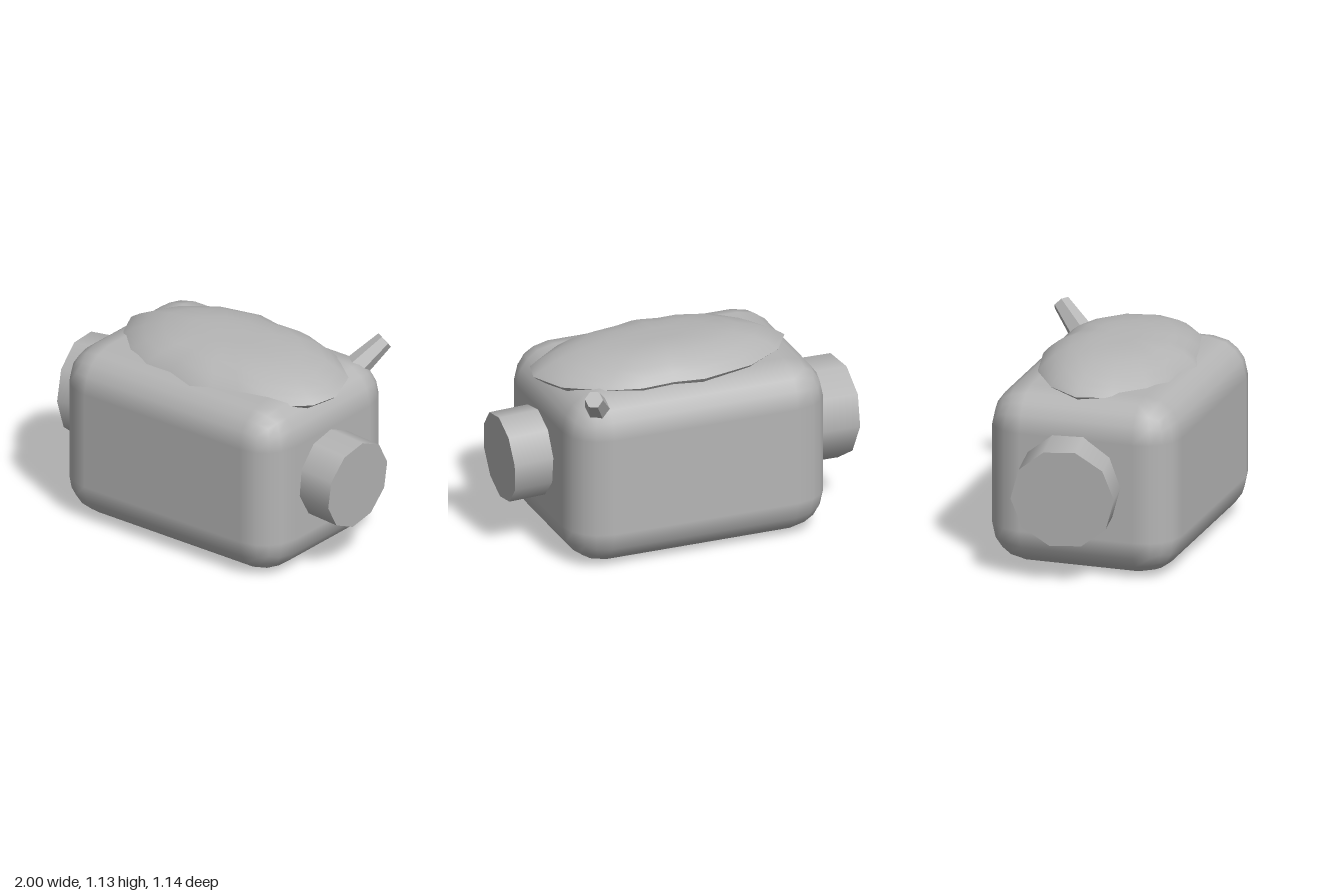
import * as THREE from 'three';
import { RoundedBoxGeometry } from 'three/addons/geometries/RoundedBoxGeometry.js';

const grey = new THREE.MeshStandardMaterial({ color: 0xb5b5b5 });
grey.name = 'grey';
const greyFaceted = grey.clone();
greyFaceted.name = 'grey faceted';
greyFaceted.flatShading = true;

// Uneven outline of the lid seen from above, as [x, z]
const RIM = [
  [0.80, 0.04], [0.76, 0.19], [0.59, 0.34], [0.40, 0.39], [0.22, 0.42], [0.10, 0.455],
  [-0.08, 0.41], [-0.25, 0.41], [-0.43, 0.34], [-0.58, 0.18], [-0.66, 0.0], [-0.55, -0.18],
  [-0.33, -0.33], [-0.03, -0.40], [0.14, -0.37], [0.33, -0.38], [0.52, -0.32], [0.72, -0.17],
];

// Half of the lens-shaped lid: rings of the outline shrinking to the middle
function lidHalf(height) {
  const scales = [1, 0.97, 0.91, 0.8, 0.62, 0.4, 0.2];
  const n = RIM.length, cx = 0.07, cz = 0.02;
  const pos = [], index = [];
  for (const s of scales) {
    for (const [x, z] of RIM) {
      const rimY = 0.985 - 0.05 * z - 0.012 * x;
      const y = rimY * s + 0.982 * (1 - s) + height * (1 - s ** 4);
      pos.push(cx + (x - cx) * s, y, cz + (z - cz) * s);
    }
  }
  pos.push(cx, 0.982 + height, cz);
  const tri = (a, b, c) => (height > 0 ? index.push(a, c, b) : index.push(a, b, c));
  for (let r = 0; r < scales.length; r++) {
    for (let i = 0; i < n; i++) {
      const j = (i + 1) % n, a = r * n + i, b = r * n + j;
      if (r === scales.length - 1) tri(a, b, scales.length * n);
      else {
        tri(a, b, b + n);
        tri(a, b + n, a + n);
      }
    }
  }
  const geo = new THREE.BufferGeometry();
  geo.setAttribute('position', new THREE.Float32BufferAttribute(pos, 3));
  geo.setIndex(index);
  geo.computeVertexNormals();
  return geo;
}

// Cylinder from a base point to a tip point
function peg(base, tip, rBase, rTip, sides, phase = 0) {
  const a = new THREE.Vector3(...base), b = new THREE.Vector3(...tip);
  const dir = b.clone().sub(a);
  const geo = new THREE.CylinderGeometry(rTip, rBase, dir.length(), sides, 1, false, phase);
  geo.applyQuaternion(new THREE.Quaternion().setFromUnitVectors(
    new THREE.Vector3(0, 1, 0), dir.normalize()));
  a.add(b).multiplyScalar(0.5);
  return geo.translate(a.x, a.y, a.z);
}

export function createModel() {
  const model = new THREE.Group();
  model.name = 'roundedContainer';
  const add = (name, geo, mat = grey) => {
    const mesh = new THREE.Mesh(geo, mat);
    mesh.name = name;
    model.add(mesh);
  };

  // Body with soft corners
  add('body', new RoundedBoxGeometry(1.52, 1.0, 1.085, 2, 0.22).translate(0.01, 0.5, 0.028));

  // Cushion-like lid
  add('lidTop', lidHalf(0.14));
  add('lidUnderside', lidHalf(-0.15));

  // Slightly tilted side drums
  const phase = THREE.MathUtils.degToRad(10);
  add('leftDrum', peg([0.6, 0.53, 0.068], [0.984, 0.51, 0.08], 0.25, 0.25, 10, phase));
  add('rightDrum', peg([-0.6, 0.532, -0.022], [-0.963, 0.505, 0.025], 0.288, 0.288, 10, phase));

  // Small faceted spout at the back corner
  add('spout', peg([0.58, 0.90, -0.36], [0.68, 1.06, -0.535], 0.075, 0.05, 6), greyFaceted);

  return model;
}
